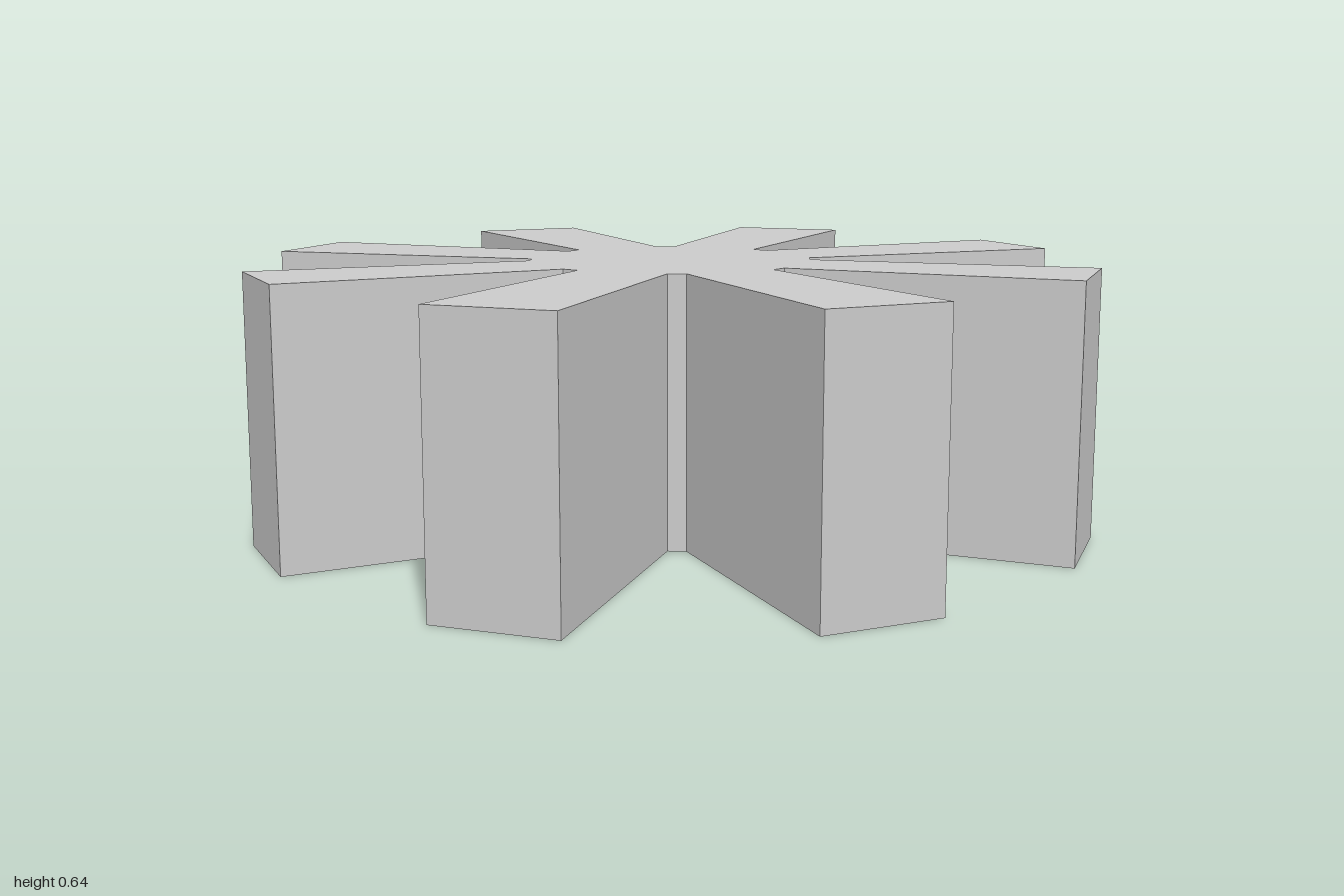
import * as THREE from 'three';

const HEIGHT = 0.637;
const OFFSET = 0.0025; // the hub sits slightly off the centre of the tips

export function createModel() {
  const group = new THREE.Group();
  group.name = 'eightArmedStar';

  // One quarter of the outline: a flared straight arm, then a diagonal arm
  const quarter = [
    [0.318, -0.109], [1, -0.145], [1, 0.145], [0.318, 0.109],
    [0.305, 0.15], [0.807, 0.604], [0.604, 0.807], [0.15, 0.305],
  ];
  const shift = (v, d) => (Math.abs(v) > 0.99 ? Math.sign(v) : v + d);

  // Turn the quarter four times to close the outline
  const points = [];
  for (let i = 0; i < 4; i++) {
    for (const [x, y] of quarter) {
      const p = new THREE.Vector2(x, y).rotateAround(new THREE.Vector2(), i * Math.PI / 2);
      points.push(p.set(shift(p.x, -OFFSET), shift(p.y, OFFSET)));
    }
  }

  // Extrude upwards from the ground
  const geometry = new THREE.ExtrudeGeometry(new THREE.Shape(points), {
    depth: HEIGHT, bevelEnabled: false,
  });
  geometry.rotateX(-Math.PI / 2);

  const star = new THREE.Mesh(
    geometry,
    new THREE.MeshStandardMaterial({ color: 0xcccccc, flatShading: true }),
  );
  star.name = 'starBody';
  group.add(star);
  return group;
}
